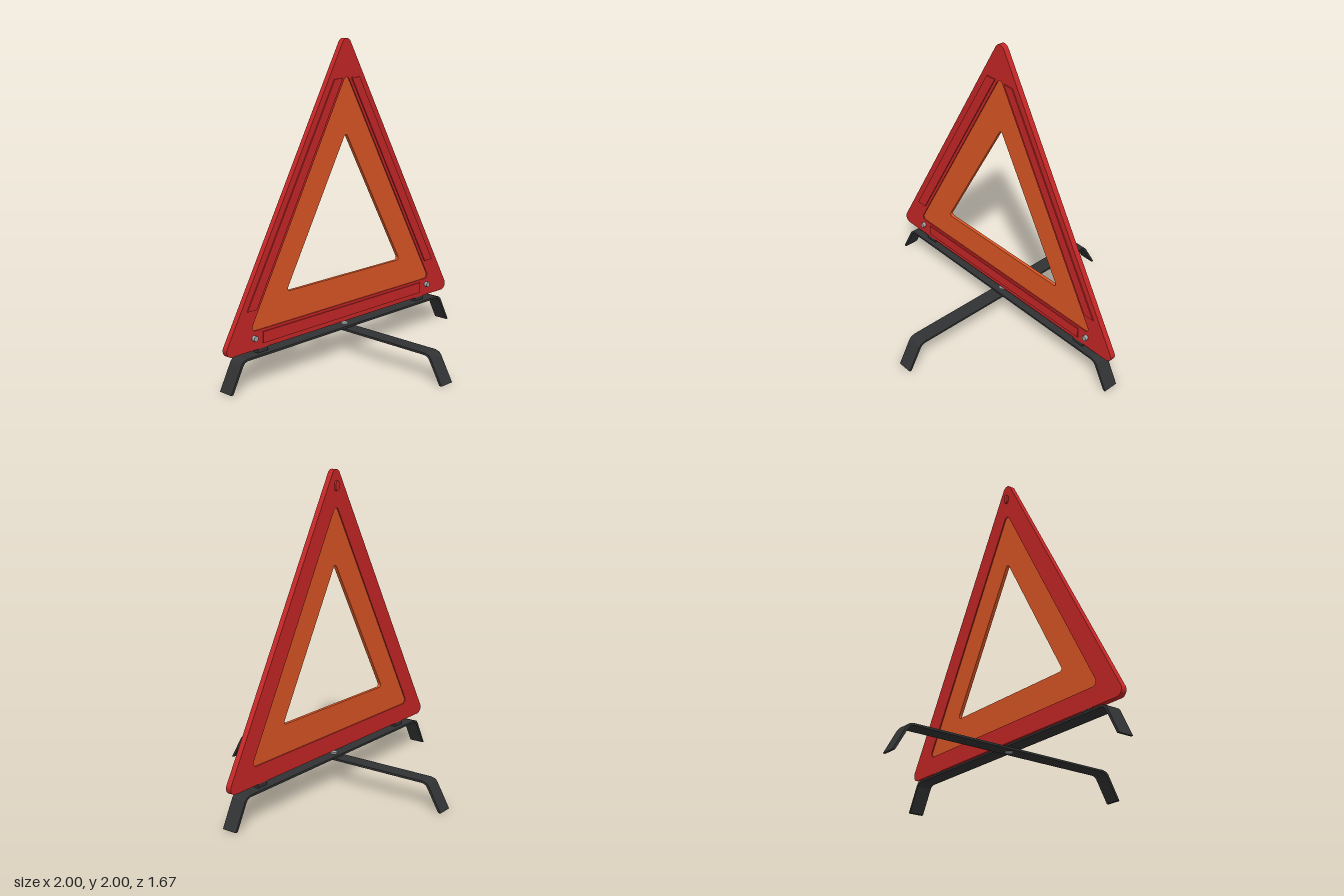
import * as THREE from 'three';

const paint = (name, color) => Object.assign(new THREE.MeshStandardMaterial({ color }), { name });

// Rounded triangle from the centres of its corner arcs
function triangle(target, halfWidth, bottom, top, r) {
  const a = Math.atan2(halfWidth, top - bottom);
  target.absarc(halfWidth, bottom, r, -Math.PI / 2, a, false);
  target.absarc(0, top, r, a, Math.PI - a, false);
  target.absarc(-halfWidth, bottom, r, Math.PI - a, Math.PI * 1.5, false);
  target.closePath();
  return target;
}

// Extrude a shape from z0 to z1
function slab(shape, z0, z1) {
  const g = new THREE.ExtrudeGeometry(shape, { depth: z1 - z0, bevelEnabled: false, curveSegments: 8 });
  return g.translate(0, 0, z0);
}

const polygon = (pts) => new THREE.Shape(pts.map(([x, y]) => new THREE.Vector2(x, y)));

// Bent strip with two sloping feet; half profile is mirrored
function legGeometry(reach, height, bend) {
  const outer = [[reach, 0], [bend + 0.035, height - 0.025], [bend + 0.02, height - 0.008], [bend - 0.01, height]];
  const inner = [[bend - 0.012, height - 0.013], [bend + 0.01, height - 0.02], [bend + 0.022, height - 0.034], [reach - 0.016, 0]];
  const flip = (pts) => pts.map(([x, y]) => [-x, y]).reverse();
  return slab(polygon([...outer, ...flip(outer), ...flip(inner), ...inner]), -0.05, 0.05);
}

export function createModel() {
  const red = paint('reflector red', 0xc62626);
  const orange = paint('fluorescent orange', 0xdb5625);
  const black = paint('black steel', 0x313233);
  const grey = paint('rivet grey', 0xa0a2a4);

  const model = new THREE.Group();
  model.name = 'warningTriangle';
  const add = (name, geometry, material, x = 0, y = 0, z = 0) => {
    const mesh = new THREE.Mesh(geometry, material);
    mesh.name = name;
    mesh.position.set(x, y, z);
    model.add(mesh);
    return mesh;
  };

  // Red outer frame
  const frame = triangle(new THREE.Shape(), 0.96, 0.255, 1.96, 0.04);
  frame.holes.push(triangle(new THREE.Path(), 0.775, 0.357, 1.74, 0.025));
  add('redFrame', slab(frame, -0.018, 0.018), red);

  // Recessed orange panel
  const panel = triangle(new THREE.Shape(), 0.775, 0.357, 1.74, 0.025);
  panel.holes.push(triangle(new THREE.Path(), 0.49, 0.531, 1.394, 0.016));
  add('orangePanel', slab(panel, -0.011, 0.011), orange);

  // Thin raised reflectors on the front of the frame
  const innerX = (y) => (1.795 - y) / 1.785 + 0.02;
  const outerX = (y) => (2.035 - y) / 1.776 - 0.045;
  const strip = [[innerX(0.46), 0.46], [outerX(0.46), 0.46], [outerX(1.76), 1.76], [innerX(1.76), 1.76]];
  add('leftReflector', slab(polygon(strip), 0.018, 0.025), red);
  add('rightReflector', slab(polygon(strip.map(([x, y]) => [-x, y])), 0.018, 0.025), red);
  add('bottomReflector', new THREE.BoxGeometry(1.44, 0.07, 0.007), red, 0, 0.28, 0.0215);

  // Catch loop behind the apex
  const loop = new THREE.Shape();
  loop.absarc(0, 1.915, 0.016, 0, Math.PI, false);
  loop.absarc(0, 1.885, 0.016, Math.PI, Math.PI * 2, false);
  loop.closePath();
  add('rearCatch', slab(loop, -0.03, -0.017), red);

  // Corner rivets and mounting blocks
  for (const s of [-1, 1]) {
    const rivet = add('cornerRivet', new THREE.CylinderGeometry(0.017, 0.017, 0.024, 16), grey, s * 0.79, 0.29, 0.028);
    rivet.rotation.x = Math.PI / 2;
    add('mountingBlock', new THREE.BoxGeometry(0.08, 0.04, 0.034), black, s * 0.72, 0.204, 0);
  }

  // Crossed folding legs joined by a pivot
  add('sideLeg', legGeometry(1, 0.19, 0.88), black);
  add('crossLeg', legGeometry(0.835, 0.176, 0.715), black).rotation.y = Math.PI / 2;
  add('legPivot', new THREE.CylinderGeometry(0.022, 0.025, 0.04, 16), grey, 0, 0.179, 0);

  return model;
}
